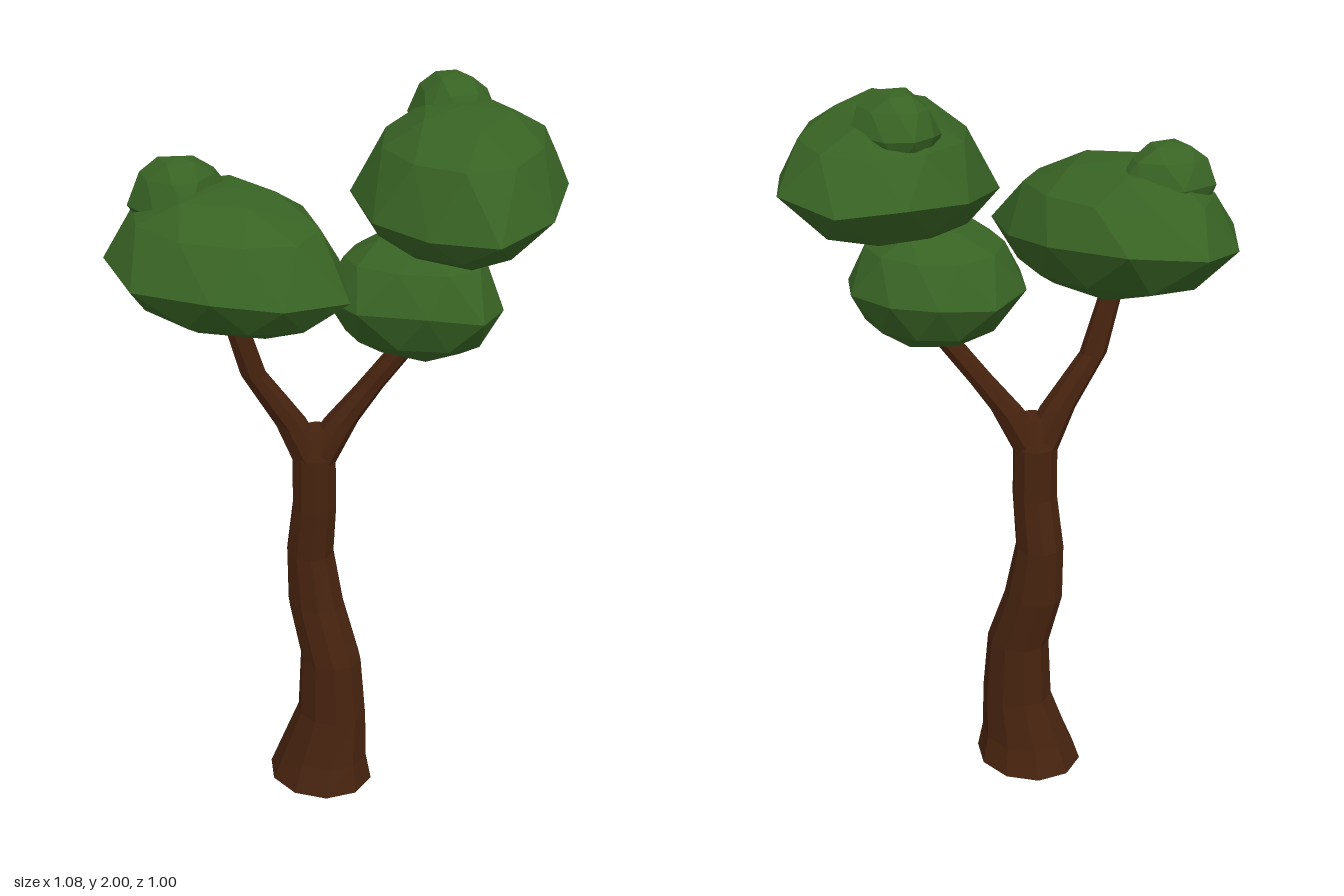
import * as THREE from 'three';
import { ConvexGeometry } from 'three/addons/geometries/ConvexGeometry.js';

const bark = new THREE.MeshStandardMaterial({ color: 0x47230f, flatShading: true });
bark.name = 'bark brown';
const leaf = new THREE.MeshStandardMaterial({ color: 0x386324, flatShading: true });
leaf.name = 'leaf green';

// Closed tube through level rings [x, y, z, radiusX, radiusZ], bottom to top
function limb(name, rings, sides) {
  const pos = [], index = [];
  for (const [x, y, z, rx, rz] of rings) {
    for (let j = 0; j < sides; j++) {
      const a = ((j + 0.5) / sides) * Math.PI * 2;
      pos.push(x + rx * Math.cos(a), y, z + rz * Math.sin(a));
    }
  }
  const last = rings.length - 1;
  const low = rings.length * sides;
  pos.push(...rings[0].slice(0, 3), ...rings[last].slice(0, 3));
  for (let j = 0; j < sides; j++) {
    const k = (j + 1) % sides;
    for (let i = 0; i < last; i++) {
      const a = i * sides + j, b = i * sides + k;
      index.push(a, a + sides, b, b, a + sides, b + sides);
    }
    index.push(low, j, k, low + 1, last * sides + k, last * sides + j);
  }
  let geo = new THREE.BufferGeometry();
  geo.setAttribute('position', new THREE.Float32BufferAttribute(pos, 3));
  geo.setIndex(index);
  geo = geo.toNonIndexed();
  geo.computeVertexNormals();
  const mesh = new THREE.Mesh(geo, bark);
  mesh.name = name;
  return mesh;
}

// Faceted leaf clump: widest outline [x, y, z], narrowing to a top and a bottom point
function clump(name, outline, top, bottom) {
  const pts = outline.map((p) => new THREE.Vector3(...p));
  const n = pts.length;
  const ring = pts.slice();
  for (const end of [top, bottom]) {
    const tip = new THREE.Vector3(...end);
    pts.push(tip);
    for (let i = 0; i < n; i++) {
      const mid = ring[i].clone().lerp(ring[(i + 1) % n], 0.5);
      // shoulder ring, staggered between the outline corners
      const s = mid.clone().lerp(tip, 0.2);
      s.y = mid.y + (tip.y - mid.y) * 0.62;
      pts.push(s);
      // inner ring close to the tip, on every other corner
      if (i % 2 === 0) {
        const c = ring[i].clone().lerp(tip, 0.55);
        c.y = ring[i].y + (tip.y - ring[i].y) * 0.94;
        pts.push(c);
      }
    }
  }
  const mesh = new THREE.Mesh(new ConvexGeometry(pts), leaf);
  mesh.name = name;
  return mesh;
}

export function createModel() {
  const tree = new THREE.Group();
  tree.name = 'tree';

  // Wavy trunk with a flared foot
  tree.add(limb('trunk', [
    [-0.06, 0, 0.04, 0.153, 0.135],
    [-0.052, 0.08, 0.038, 0.13, 0.11],
    [-0.027, 0.22, 0.03, 0.1, 0.088],
    [-0.03, 0.4, 0.03, 0.088, 0.078],
    [-0.077, 0.56, 0.03, 0.081, 0.073],
    [-0.092, 0.72, 0.035, 0.065, 0.067],
    [-0.073, 0.87, 0.04, 0.06, 0.062],
    [-0.072, 1.02, 0.042, 0.059, 0.06],
    [-0.062, 1.1, 0.042, 0.035, 0.035],
  ], 10));

  // Two forking branches
  tree.add(limb('rightBranch', [
    [-0.075, 1.0, 0.045, 0.054, 0.054],
    [-0.115, 1.12, 0.085, 0.046, 0.045],
    [-0.182, 1.265, 0.153, 0.035, 0.035],
    [-0.21, 1.43, 0.195, 0.028, 0.034],
    [-0.215, 1.52, 0.215, 0.026, 0.03],
  ], 8));
  tree.add(limb('leftBranch', [
    [-0.068, 1.0, 0.04, 0.054, 0.054],
    [-0.01, 1.12, 0.005, 0.046, 0.042],
    [0.052, 1.215, -0.032, 0.037, 0.036],
    [0.13, 1.33, -0.075, 0.035, 0.035],
    [0.175, 1.42, -0.1, 0.03, 0.03],
  ], 8));

  // Large leaf clumps
  tree.add(clump('rightClump', [
    [-0.36, 1.62, -0.05], [-0.13, 1.6, -0.02], [0.02, 1.58, 0.06], [0.165, 1.55, 0.24],
    [0.07, 1.55, 0.375], [-0.07, 1.57, 0.47], [-0.28, 1.57, 0.5], [-0.46, 1.59, 0.38],
    [-0.54, 1.585, 0.21], [-0.525, 1.61, 0.045],
  ], [-0.21, 1.765, 0.22], [-0.14, 1.427, 0.22]));
  tree.add(clump('upperLeftClump', [
    [0.16, 1.77, -0.5], [0.35, 1.78, -0.45], [0.47, 1.76, -0.27], [0.535, 1.73, -0.06],
    [0.495, 1.71, 0.13], [0.32, 1.7, 0.15], [0.15, 1.71, 0.12], [0, 1.73, -0.02],
    [-0.035, 1.76, -0.235], [0.03, 1.78, -0.4],
  ], [0.24, 1.945, -0.15], [0.28, 1.607, -0.03]));
  tree.add(clump('lowerLeftClump', [
    [0.16, 1.48, -0.285], [0.3, 1.47, -0.24], [0.38, 1.46, -0.13], [0.39, 1.46, -0.01],
    [0.28, 1.48, 0.08], [0.12, 1.48, 0.14], [0, 1.48, 0.09], [-0.065, 1.47, 0],
    [-0.065, 1.47, -0.16], [0.04, 1.48, -0.25],
  ], [0.18, 1.64, -0.06], [0.19, 1.322, -0.08]));

  // Small tufts on top
  tree.add(clump('rightTuft', [
    [-0.31, 1.72, 0.125], [-0.245, 1.73, 0.13], [-0.23, 1.71, 0.22], [-0.24, 1.7, 0.31],
    [-0.32, 1.7, 0.345], [-0.43, 1.71, 0.315], [-0.455, 1.73, 0.25], [-0.41, 1.73, 0.16],
  ], [-0.33, 1.825, 0.235], [-0.34, 1.62, 0.235]));
  tree.add(clump('leftTuft', [
    [0.12, 1.91, -0.345], [0.23, 1.91, -0.325], [0.28, 1.89, -0.24], [0.25, 1.89, -0.17],
    [0.155, 1.89, -0.12], [0.06, 1.9, -0.19], [0.045, 1.91, -0.25], [0.06, 1.91, -0.31],
  ], [0.165, 2, -0.23], [0.16, 1.8, -0.24]));

  return tree;
}
